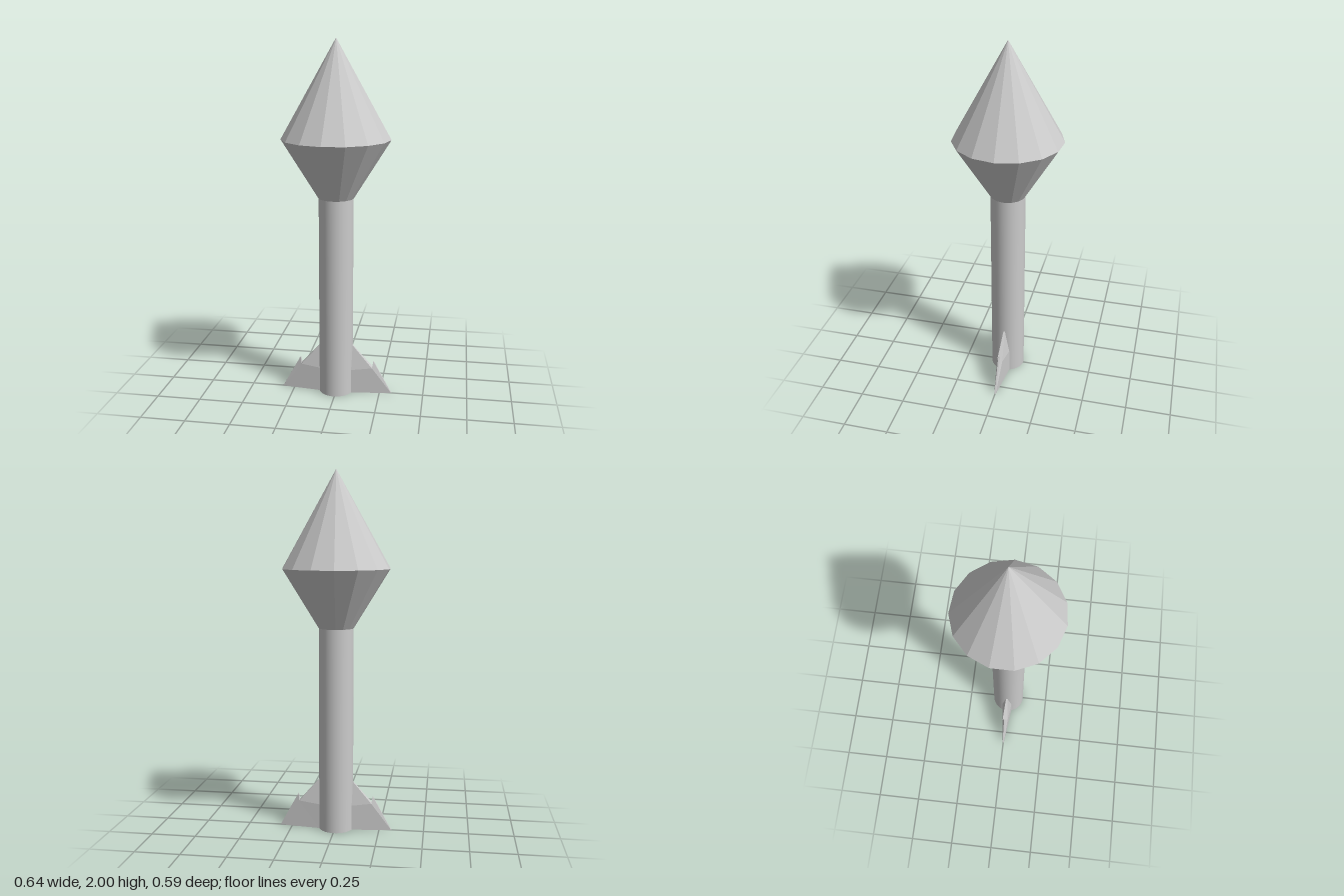
import * as THREE from 'three';

const material = new THREE.MeshStandardMaterial({ color: 0xcccccc });
const facetedMaterial = new THREE.MeshStandardMaterial({ color: 0xcccccc, flatShading: true });
const AXIS_X = -0.004;

function addMesh(parent, name, geometry, mat, x = 0, y = 0) {
  const mesh = new THREE.Mesh(geometry, mat);
  mesh.name = name;
  mesh.position.set(x, y, 0);
  parent.add(mesh);
  return mesh;
}

// Fin with a barbed outline, thick at the root and thin at the outer edge
function finGeometry() {
  // x, y, half thickness
  const outline = [
    [0.085, 0, 0.03],
    [0.319, 0, 0.004],
    [0.213, 0.193, 0.005],
    [0.206, 0.153, 0.016],
    [0.085, 0.292, 0.004],
    [0.085, 0.14, 0.03],
  ];
  const sides = [[0, 1, 3], [1, 2, 3], [0, 3, 5], [5, 3, 4]];
  const positions = [];
  const put = (i, sign) => positions.push(outline[i][0], outline[i][1], sign * outline[i][2]);
  for (const [a, b, c] of sides) {
    put(a, 1); put(b, 1); put(c, 1);
    put(a, -1); put(c, -1); put(b, -1);
  }
  // Rim joining the two sides
  for (let i = 0; i < outline.length; i++) {
    const j = (i + 1) % outline.length;
    put(i, 1); put(i, -1); put(j, -1);
    put(i, 1); put(j, -1); put(j, 1);
  }
  const geometry = new THREE.BufferGeometry();
  geometry.setAttribute('position', new THREE.Float32BufferAttribute(positions, 3));
  geometry.computeVertexNormals();
  return geometry;
}

export function createModel() {
  const model = new THREE.Group();
  model.name = 'rocket';

  // Smooth round body
  addMesh(model, 'body', new THREE.CylinderGeometry(0.096, 0.096, 1.15, 48), material, AXIS_X, 0.575);

  // Faceted fifteen-sided head
  const head = new THREE.Group();
  head.name = 'head';
  head.position.x = AXIS_X;
  model.add(head);
  const sides = 15;
  addMesh(head, 'noseCone', new THREE.CylinderGeometry(0, 0.299, 0.53, sides, 1, true, Math.PI / 2),
    facetedMaterial, 0, 1.735);
  addMesh(head, 'headBase', new THREE.CylinderGeometry(0.299, 0.098, 0.325, sides, 1, false, Math.PI / 2),
    facetedMaterial, 0, 1.3075);

  // Opposite fins
  const fin = finGeometry();
  addMesh(model, 'leftFin', fin, facetedMaterial);
  addMesh(model, 'rightFin', fin, facetedMaterial).rotation.y = Math.PI;

  return model;
}
